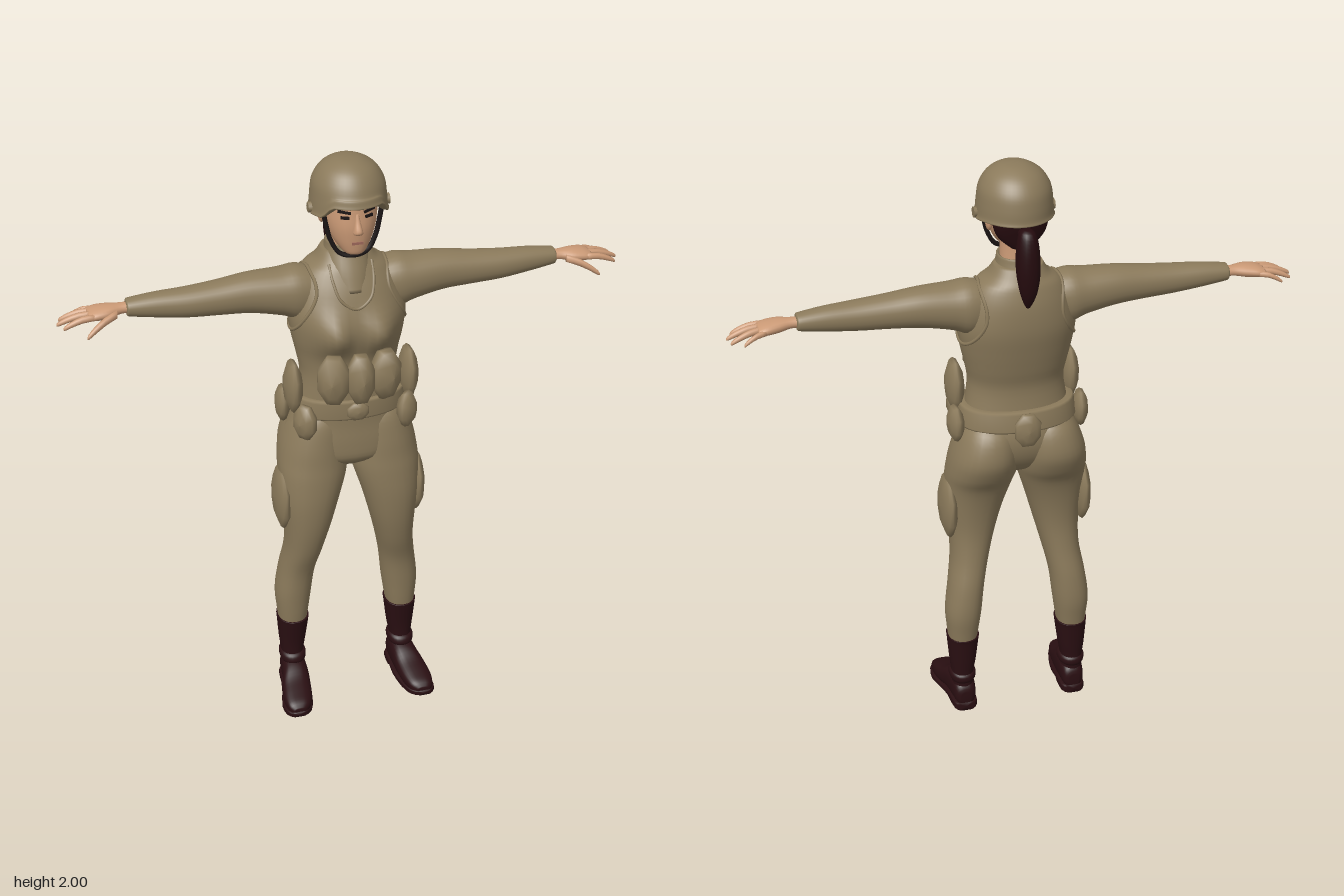
import * as THREE from 'three';

const mat = (name, color) => Object.assign(new THREE.MeshStandardMaterial({ color }), { name });

export function createModel() {
  const model = new THREE.Group();
  const cloth = mat('khaki cloth', 0x8b7a5b);
  const skin = mat('skin', 0xcb9a76);
  const leather = mat('boot leather', 0x2a0f12);
  const hairMat = mat('hair', 0x250b0e);
  const black = mat('strap black', 0x1b1515);
  const lipMat = mat('lips', 0xa06a5c);

  const add = (name, geo, material) => {
    const mesh = new THREE.Mesh(geo, material);
    mesh.name = name;
    model.add(mesh);
    return mesh;
  };

  // Closed skin through cross-sections: [position on axis, min u, max u, min v, max v]
  const axes = {
    y: (t, u, v) => [u, t, v],
    x: (t, u, v) => [t, u, v],
    z: (t, u, v) => [u, v, t],
  };
  function loft(rows, { axis = 'y', side = 1, sub = 4, seg = 28, n = 2.2, warp = null } = {}) {
    const rings = [];
    const last = rows.length - 1;
    const at = i => rows[Math.max(0, Math.min(last, i))];
    for (let i = 0; i < last; i++) {
      for (let k = 0; k < sub; k++) {
        const t = k / sub;
        rings.push(at(i).map((b, j) => {
          const a = at(i - 1)[j], c = at(i + 1)[j], d = at(i + 2)[j];
          return sub === 1 ? b : b + 0.5 * t * (c - a + t * (2 * a - 5 * b + 4 * c - d + t * (3 * (b - c) + d - a)));
        }));
      }
    }
    rings.push(rows[last]);
    const pos = [], idx = [];
    const put = (t, u, v) => {
      const p = axes[axis](t, u, v);
      if (warp) warp(p);
      pos.push(p[0] * side, p[1], p[2]);
    };
    const pw = c => Math.sign(c) * Math.abs(c) ** (2 / n);
    for (const [t, u0, u1, v0, v1] of rings) {
      for (let k = 0; k < seg; k++) {
        const a = k / seg * Math.PI * 2;
        put(t, (u0 + u1) / 2 + (u1 - u0) / 2 * pw(Math.cos(a)), (v0 + v1) / 2 + (v1 - v0) / 2 * pw(Math.sin(a)));
      }
    }
    for (const [t, u0, u1, v0, v1] of [rings[0], rings.at(-1)]) put(t, (u0 + u1) / 2, (v0 + v1) / 2);
    const m = rings.length, c0 = m * seg;
    for (let k = 0; k < seg; k++) {
      const q = (k + 1) % seg;
      for (let i = 0; i < m - 1; i++) {
        const a = i * seg + k, b = i * seg + q, c = a + seg, d = b + seg;
        idx.push(a, b, c, b, d, c);
      }
      idx.push(c0, q, k, c0 + 1, (m - 1) * seg + k, (m - 1) * seg + q);
    }
    // turn the faces outward
    let vol = 0;
    const P = i => new THREE.Vector3().fromArray(pos, i * 3);
    for (let i = 0; i < idx.length; i += 3) vol += P(idx[i]).dot(P(idx[i + 1]).cross(P(idx[i + 2])));
    if (vol < 0) idx.reverse();
    const g = new THREE.BufferGeometry();
    g.setAttribute('position', new THREE.Float32BufferAttribute(pos, 3));
    g.setIndex(idx);
    g.computeVertexNormals();
    return g;
  }
  const sym = rows => rows.map(([y, w, z0, z1]) => [y, -w, w, z0, z1]);

  // Point where a ray meets a mesh, for seams and face details
  const hit = (mesh, o, d) => {
    mesh.material.side = THREE.DoubleSide;
    const h = new THREE.Raycaster(new THREE.Vector3(...o), new THREE.Vector3(...d)).intersectObject(mesh)[0];
    mesh.material.side = THREE.FrontSide;
    return h ? h.point : null;
  };
  const tube = (name, pts, r, material, closed = false) => add(name,
    new THREE.TubeGeometry(new THREE.CatmullRomCurve3(pts.filter(Boolean), closed), 48, r, 6, closed), material);

  // Vest with a shaped chest
  const vest = add('vest', loft(sym([
    [1.685, 0.078, -0.11, 0.02], [1.65, 0.1, -0.13, 0.045], [1.62, 0.14, -0.145, 0.062],
    [1.56, 0.172, -0.16, 0.092], [1.48, 0.193, -0.163, 0.113], [1.4, 0.185, -0.15, 0.112],
    [1.33, 0.17, -0.135, 0.1], [1.26, 0.16, -0.12, 0.098], [1.16, 0.175, -0.13, 0.1],
  ]), {
    seg: 48, warp: p => {
      if (p[2] < 0) return;
      p[2] += 0.045 * Math.exp(-(((Math.abs(p[0]) - 0.075) / 0.055) ** 2) - ((p[1] - 1.435) / 0.065) ** 2);
    },
  }), cloth);
  add('collar', loft(sym([
    [1.7, 0.05, -0.085, 0.02], [1.712, 0.064, -0.1, 0.032], [1.69, 0.068, -0.106, 0.036],
    [1.63, 0.078, -0.12, 0.066], [1.57, 0.07, -0.11, 0.09],
  ])), cloth);

  // Neckline and armhole edges
  const neck = [[0.07, 1.65], [0.066, 1.6], [0.048, 1.55], [0, 1.522]];
  tube('neckline', [...neck.slice(0, 3).map(([x, y]) => [-x, y]), ...neck.slice().reverse()]
    .map(([x, y]) => hit(vest, [x, y, 1], [0, 0, -1])), 0.005, cloth);
  for (const s of [1, -1]) {
    const ring = Array.from({ length: 16 }, (_, i) => {
      const a = i / 16 * Math.PI * 2;
      return hit(vest, [s, 1.525 + 0.105 * Math.sin(a), -0.033 + 0.1 * Math.cos(a)], [-s, 0, 0]);
    });
    tube('armholeEdge', ring, 0.006, cloth, true);
  }

  // Hips and belt
  add('hips', loft(sym([
    [1.2, 0.165, -0.12, 0.098], [1.1, 0.198, -0.15, 0.095], [1.02, 0.215, -0.14, 0.1],
    [0.96, 0.17, -0.1, 0.095], [0.92, 0.06, -0.04, 0.05],
  ])), cloth);
  add('belt', loft(sym([
    [1.192, 0.17, -0.13, 0.1], [1.192, 0.188, -0.145, 0.112], [1.185, 0.193, -0.15, 0.116],
    [1.132, 0.2, -0.16, 0.116], [1.125, 0.196, -0.156, 0.112], [1.125, 0.17, -0.13, 0.1],
  ]), { sub: 1, seg: 40 }), cloth);

  // Eight-sided padded pouch: centre, half width, half height, half depth, turn about y
  const pad = [[0, -1], [0.55, -0.85], [0.92, -0.4], [1, 0], [0.92, 0.4], [0.55, 0.85], [0, 1]]
    .map(([r, y]) => new THREE.Vector2(r * 1.06, y));
  const pouch = (name, [x, y, z], [w, h, d], yaw = 0) => {
    const g = new THREE.LatheGeometry(pad, 8).rotateY(Math.PI / 8).rotateX(Math.PI / 2);
    add(name, g.scale(w, h, d).rotateY(yaw).translate(x, y, z), cloth);
  };
  pouch('frontPouch', [0, 1.295, 0.148], [0.046, 0.09, 0.05]);
  pouch('buckle', [0, 1.158, 0.118], [0.037, 0.032, 0.016]);
  pouch('backPouch', [0, 1.14, -0.168], [0.045, 0.06, 0.026]);

  for (const s of [1, -1]) {
    pouch('frontPouch', [s * 0.086, 1.295, 0.135], [0.054, 0.088, 0.05], s * 0.35);
    pouch('sidePouch', [s * 0.195, 1.235, 0.03], [0.062, 0.09, 0.03], s * Math.PI / 2);
    pouch('beltPouch', [s * 0.172, 1.132, 0.098], [0.042, 0.062, 0.032], s * 0.9);
    pouch('beltPouch', [s * 0.212, 1.135, -0.048], [0.047, 0.062, 0.026], s * 1.68);
    pouch('thighPouch', [s * 0.232, 0.8, -0.002], [0.082, 0.112, 0.029], s * Math.PI / 2);

    // Trouser leg
    add('leg', loft([
      [1.15, 0.04, 0.16, -0.11, 0.05], [1.1, 0.012, 0.195, -0.155, 0.085], [1.02, 0.004, 0.224, -0.172, 0.1],
      [0.95, 0.003, 0.237, -0.148, 0.106], [0.89, 0.014, 0.24, -0.112, 0.112], [0.8, 0.042, 0.236, -0.088, 0.115],
      [0.7, 0.07, 0.226, -0.077, 0.106], [0.6, 0.096, 0.225, -0.084, 0.084], [0.5, 0.118, 0.24, -0.1, 0.052],
      [0.4, 0.13, 0.253, -0.105, 0.04], [0.32, 0.141, 0.248, -0.094, 0.032], [0.26, 0.15, 0.242, -0.085, 0.024],
    ], { side: s }), cloth);

    // Boot: shaft, ankle cuff, foot, sole and heel
    add('bootShaft', loft([
      [0.285, 0.16, 0.235, -0.075, 0.015], [0.295, 0.141, 0.249, -0.096, 0.035], [0.28, 0.141, 0.249, -0.094, 0.034],
      [0.2, 0.151, 0.243, -0.086, 0.02], [0.14, 0.16, 0.237, -0.08, 0.016], [0.06, 0.16, 0.235, -0.078, 0.02],
    ], { side: s }), leather);
    add('ankleCuff', loft([
      [0.15, 0.165, 0.23, -0.07, 0.01], [0.14, 0.153, 0.243, -0.085, 0.025],
      [0.12, 0.153, 0.243, -0.086, 0.03], [0.105, 0.165, 0.235, -0.075, 0.02],
    ], { side: s }), leather);
    add('foot', loft([
      [-0.087, 0.18, 0.215, 0.03, 0.075], [-0.075, 0.162, 0.232, 0.02, 0.1], [-0.03, 0.156, 0.24, 0.015, 0.125],
      [0.03, 0.156, 0.248, 0.015, 0.115], [0.08, 0.16, 0.262, 0.012, 0.088], [0.13, 0.168, 0.268, 0.01, 0.07],
      [0.17, 0.183, 0.262, 0.012, 0.055], [0.188, 0.205, 0.245, 0.015, 0.038],
    ], { axis: 'z', side: s, n: 2.6 }), leather);
    add('sole', loft([
      [-0.088, 0.17, 0.225, 0, 0.032], [-0.07, 0.155, 0.238, 0, 0.032], [-0.02, 0.153, 0.243, 0, 0.032],
      [0.0, 0.153, 0.247, 0.012, 0.03], [0.05, 0.152, 0.256, 0.006, 0.026], [0.12, 0.163, 0.273, 0, 0.024],
      [0.17, 0.18, 0.268, 0.003, 0.026], [0.192, 0.205, 0.25, 0.008, 0.026],
    ], { axis: 'z', side: s, n: 5, sub: 2 }), leather);

    // Sleeve and hand
    add('sleeve', loft([
      [0.09, 1.48, 1.615, -0.1, 0.035], [0.16, 1.455, 1.634, -0.116, 0.048], [0.22, 1.475, 1.628, -0.11, 0.045],
      [0.32, 1.495, 1.624, -0.1, 0.034], [0.42, 1.502, 1.612, -0.088, 0.028], [0.52, 1.507, 1.603, -0.08, 0.022],
      [0.62, 1.518, 1.597, -0.075, 0.01], [0.695, 1.529, 1.588, -0.07, 0], [0.71, 1.533, 1.584, -0.066, -0.004],
      [0.712, 1.54, 1.575, -0.055, -0.015],
    ], { axis: 'x', side: s }), cloth);
    add('hand', loft([
      [0.69, 1.541, 1.576, -0.058, -0.014], [0.73, 1.542, 1.575, -0.058, -0.012], [0.77, 1.535, 1.576, -0.07, 0.004],
      [0.81, 1.534, 1.571, -0.08, 0.008], [0.835, 1.537, 1.562, -0.078, 0.004],
    ], { axis: 'x', side: s, seg: 16 }), skin);
    const fingers = [ // root, tip, radius
      [[0.81, 1.55, -0.071], [0.884, 1.525, -0.094], 0.0095], [[0.815, 1.553, -0.05], [0.922, 1.525, -0.068], 0.011],
      [[0.815, 1.554, -0.027], [0.932, 1.526, -0.034], 0.011], [[0.815, 1.552, -0.004], [0.915, 1.526, 0.001], 0.011],
      [[0.745, 1.553, -0.006], [0.848, 1.504, 0.04], 0.013],
    ];
    for (const [a, b, r] of fingers) {
      const rows = [[0, 1], [0.4, 1], [0.75, 0.85], [0.95, 0.6], [1, 0.2]].map(([t, k]) => {
        const [x, y, z] = a.map((v, i) => v + (b[i] - v) * t);
        const lift = 0.008 * Math.sin(t * Math.PI);
        return [x, y + lift - r * k, y + lift + r * k, z - r * k, z + r * k];
      });
      add('finger', loft(rows, { axis: 'x', side: s, seg: 8, sub: 2 }), skin);
    }
  }

  // Head, neck, nose and ears
  const head = add('head', loft(sym([
    [1.93, 0.07, -0.08, 0.07], [1.89, 0.084, -0.1, 0.1], [1.84, 0.086, -0.1, 0.108], [1.8, 0.081, -0.09, 0.112],
    [1.765, 0.07, -0.065, 0.11], [1.735, 0.053, -0.02, 0.106], [1.712, 0.033, 0.03, 0.1], [1.705, 0.015, 0.05, 0.085],
  ])), skin);
  add('neck', loft(sym([[1.83, 0.055, -0.09, 0.02], [1.75, 0.053, -0.085, 0.025], [1.66, 0.056, -0.09, 0.02]])), skin);
  add('nose', loft(sym([
    [1.85, 0.006, 0.09, 0.108], [1.825, 0.009, 0.09, 0.12], [1.8, 0.014, 0.09, 0.134],
    [1.788, 0.016, 0.09, 0.13], [1.782, 0.008, 0.09, 0.115],
  ]), { seg: 12 }), skin);

  // Painted face details
  const plate = (name, x, y, w, h, yaw, roll, material) => {
    const p = hit(head, [x, y, 1], [0, 0, -1]);
    add(name, new THREE.BoxGeometry(w, h, 0.007).rotateZ(roll).rotateY(yaw).translate(p.x, p.y, p.z), material);
  };
  plate('mouth', 0, 1.753, 0.036, 0.008, 0, 0, lipMat);
  for (const s of [1, -1]) {
    plate('eyebrow', s * 0.04, 1.857, 0.042, 0.008, s * 0.42, s * 0.12, black);
    plate('eye', s * 0.038, 1.839, 0.028, 0.009, s * 0.42, 0, black);
    add('ear', new THREE.SphereGeometry(1, 12, 8).scale(0.012, 0.03, 0.02).translate(s * 0.085, 1.815, -0.01), skin);
    add('strapButton', new THREE.CylinderGeometry(0.016, 0.018, 0.014, 12).rotateZ(Math.PI / 2)
      .translate(s * 0.125, 1.845, 0.003), cloth);
  }
  const strap = [[0.095, 1.85, 0.05], [0.086, 1.8, 0.052], [0.073, 1.75, 0.055], [0.045, 1.705, 0.062]];
  tube('chinStrap', [...strap, [0, 1.695, 0.07], ...strap.map(([x, y, z]) => [-x, y, z]).reverse()]
    .map(p => new THREE.Vector3(...p)), 0.008, black);

  // Helmet with its brim raised over the face
  add('helmet', loft(sym([
    [2, 0.012, -0.012, 0.012], [1.994, 0.045, -0.055, 0.05], [1.97, 0.086, -0.1, 0.093], [1.93, 0.112, -0.13, 0.122],
    [1.885, 0.12, -0.14, 0.134], [1.85, 0.123, -0.142, 0.14], [1.838, 0.126, -0.144, 0.143],
    [1.84, 0.115, -0.132, 0.13], [1.875, 0.07, -0.08, 0.08],
  ]), {
    seg: 48, n: 2, warp: p => {
      const low = THREE.MathUtils.smoothstep(1.92 - p[1], 0, 0.07);
      p[1] += 0.042 * low * THREE.MathUtils.smoothstep(p[2], 0.07, 0.115);
      p[1] -= 0.01 * low * Math.exp(-((p[2] / 0.05) ** 2));
    },
  }), cloth);

  // Hair under the helmet and ponytail
  add('hair', loft(sym([
    [1.87, 0.09, -0.115, -0.02], [1.82, 0.088, -0.112, -0.03], [1.78, 0.07, -0.104, -0.045], [1.745, 0.03, -0.095, -0.06],
  ])), hairMat);
  add('hairTie', new THREE.SphereGeometry(1, 12, 8).scale(0.022, 0.02, 0.04).translate(0, 1.805, -0.125), hairMat);
  add('ponytail', loft(sym([
    [1.835, 0.012, -0.165, -0.14], [1.82, 0.027, -0.185, -0.122], [1.77, 0.036, -0.197, -0.118],
    [1.7, 0.038, -0.2, -0.125], [1.64, 0.03, -0.194, -0.14], [1.6, 0.018, -0.182, -0.148], [1.575, 0.006, -0.168, -0.156],
  ]), { seg: 16 }), hairMat);

  return model;
}
